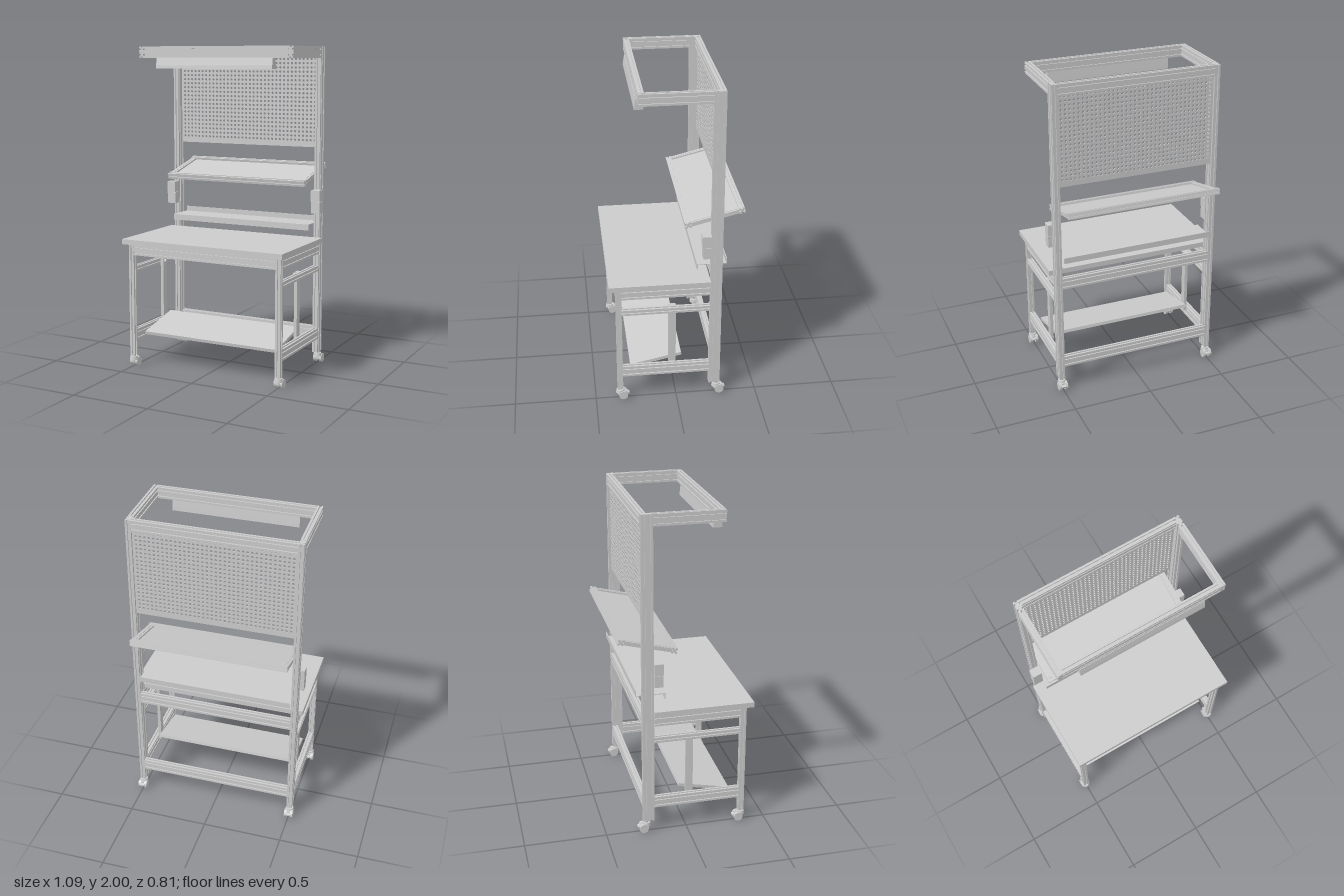
import * as THREE from 'three';

const mat = new THREE.MeshStandardMaterial({ color: 0xcccccc, side: THREE.DoubleSide });
const M = 0.035; // one profile module
const POST_X = 0.5025;

function add(parent, name, geo, x = 0, y = 0, z = 0) {
  const m = new THREE.Mesh(geo, mat);
  m.name = name;
  m.position.set(x, y, z);
  parent.add(m);
  return m;
}
const box = (parent, name, w, h, d, x, y, z) => add(parent, name, new THREE.BoxGeometry(w, h, d), x, y, z);

// Slotted aluminium section, nu by nv modules, one groove per module and face
function section(nu, nv) {
  const pts = [];
  const g = 0.0045, depth = 0.008;
  let x = -nu * M / 2, y = -nv * M / 2;
  for (const [dx, dy, n] of [[1, 0, nu], [0, 1, nv], [-1, 0, nu], [0, -1, nv]]) {
    for (let i = 0; i < n; i++) {
      const put = (t, d) => pts.push(new THREE.Vector2(x + dx * t - dy * d, y + dy * t + dx * d));
      if (i === 0) put(0, 0);
      put(M / 2 - g, 0);
      put(M / 2 - g, depth);
      put(M / 2 + g, depth);
      put(M / 2 + g, 0);
      x += dx * M;
      y += dy * M;
    }
  }
  return new THREE.Shape(pts);
}

// Beam along an axis. Section sides: x -> (z, y), y -> (x, z), z -> (x, y)
function beam(parent, name, axis, nu, nv, length, x, y, z) {
  const geo = new THREE.ExtrudeGeometry(section(nu, nv), { depth: length, bevelEnabled: false });
  geo.translate(0, 0, -length / 2);
  if (axis === 'x') geo.rotateY(Math.PI / 2);
  if (axis === 'y') geo.rotateX(-Math.PI / 2);
  return add(parent, name, geo, x, y, z);
}

// Extrude a (z, y) outline across the width in x
function across(parent, name, outline, width) {
  const shape = new THREE.Shape(outline.map(([z, y]) => new THREE.Vector2(-z, y)));
  const geo = new THREE.ExtrudeGeometry(shape, { depth: width, bevelEnabled: false });
  geo.translate(0, 0, -width / 2);
  geo.rotateY(Math.PI / 2);
  return add(parent, name, geo);
}

// Swivel caster with twin wheels, trailing to the back
function caster(parent, x, z) {
  const c = new THREE.Group();
  c.name = 'caster';
  c.position.set(x, 0, z);
  add(c, 'casterStem', new THREE.CylinderGeometry(0.012, 0.012, 0.03, 16), 0, 0.065, 0);
  add(c, 'casterSwivel', new THREE.CylinderGeometry(0.024, 0.028, 0.022, 20), 0, 0.052, 0);
  box(c, 'casterFork', 0.022, 0.03, 0.05, 0, 0.038, -0.012);
  for (const s of [-1, 1]) {
    const wheel = new THREE.CylinderGeometry(0.028, 0.028, 0.018, 20).rotateZ(Math.PI / 2);
    add(c, 'casterWheel', wheel, s * 0.019, 0.028, -0.018);
  }
  const brake = box(c, 'casterBrake', 0.03, 0.008, 0.03, 0, 0.04, -0.04);
  brake.rotation.x = -0.3;
  parent.add(c);
}

function pegboard(parent) {
  const w = 0.97, y0 = 1.378, y1 = 1.945, pitch = 0.0265, cols = 36, rows = 20;
  const s = new THREE.Shape([[-w / 2, y0], [w / 2, y0], [w / 2, y1], [-w / 2, y1]].map(p => new THREE.Vector2(...p)));
  for (let i = 0; i < cols; i++) {
    for (let j = 0; j < rows; j++) {
      const hole = new THREE.Path();
      hole.absarc((i - (cols - 1) / 2) * pitch, 1.42 + j * pitch, 0.0075, 0, Math.PI * 2, true);
      s.holes.push(hole);
    }
  }
  const geo = new THREE.ExtrudeGeometry(s, { depth: 0.005, bevelEnabled: false, curveSegments: 8 });
  add(parent, 'pegboard', geo, 0, 0, -0.258);
}

export function createModel() {
  const root = new THREE.Group();
  root.name = 'workbench';

  // Side frames
  for (const s of [-1, 1]) {
    const x = s * POST_X;
    const side = new THREE.Group();
    side.name = s > 0 ? 'leftFrame' : 'rightFrame';
    root.add(side);
    beam(side, 'rearPost', 'y', 1, 2, 1.925, x, 1.0375, -0.238);
    beam(side, 'frontLeg', 'y', 1, 1, 0.717, x, 0.4285, 0.348);
    beam(side, 'topArm', 'z', 1, 2, 0.418, x, 1.965, 0.006);
    beam(side, 'tableRail', 'z', 1, 2, 0.533, x, 0.75, 0.064);
    beam(side, 'middleRail', 'z', 1, 1, 0.533, x, 0.6225, 0.064);
    beam(side, 'bottomRail', 'z', 1, 2, 0.533, x, 0.2, 0.064);

    // Upright that carries the footrest
    box(side, 'footrestUpright', 0.02, 0.43, 0.045, s * 0.474, 0.425, 0.022);
    const knob = new THREE.CylinderGeometry(0.012, 0.012, 0.012, 16).rotateZ(Math.PI / 2);
    add(side, 'uprightKnob', knob, s * 0.458, 0.62, 0.022);

    // Socket box on the front of the post
    box(side, 'socketBox', 0.058, 0.07, 0.055, s * 0.515, 1.085, -0.1755);
    box(side, 'socketBoxLower', 0.058, 0.072, 0.05, s * 0.515, 1.012, -0.178);

    caster(side, x, 0.348);
    caster(side, x, -0.252);
  }

  // Cross beams
  const span = 0.97;
  beam(root, 'topFrontBeam', 'x', 1, 2, span, 0, 1.965, 0.1975);
  beam(root, 'topRearBeam', 'x', 1, 2, span, 0, 1.965, -0.2555);
  beam(root, 'tableFrontBeam', 'x', 1, 2, span, 0, 0.75, 0.348);
  beam(root, 'tableMiddleBeam', 'x', 1, 2, span, 0, 0.75, 0.055);
  beam(root, 'tableRearBeam', 'x', 1, 2, span, 0, 0.75, -0.2555);
  beam(root, 'bottomRearBeam', 'x', 1, 2, span, 0, 0.2, -0.2555);

  box(root, 'tableTop', 1.09, 0.032, 0.608, 0, 0.802, 0.101);
  pegboard(root);

  // Lamp under the front beam
  across(root, 'lamp', [[0.173, 1.865], [0.228, 1.865], [0.226, 1.885], [0.218, 1.931], [0.18, 1.931], [0.175, 1.885]], 0.785);

  // Tilted shelf with a slotted frame
  const shelf = new THREE.Group();
  shelf.name = 'tiltedShelf';
  shelf.position.set(0, 1.211, -0.229);
  shelf.rotation.x = THREE.MathUtils.degToRad(14);
  root.add(shelf);
  for (const s of [-1, 1]) {
    beam(shelf, 'shelfEdge', 'x', 1, 1, 0.964, 0, 0, s * 0.1625);
    box(shelf, 'shelfSide', 0.035, 0.024, 0.29, s * 0.4645, 0, 0);
    box(shelf, 'shelfSideRib', 0.009, 0.028, 0.29, s * 0.4645, 0, 0);
  }
  box(shelf, 'shelfPanel', 0.9, 0.006, 0.294, 0, 0, 0);

  // Bent sheet tray: front lip down, back lip up
  across(root, 'tray', [
    [-0.126, 0.871], [-0.126, 0.908], [-0.301, 0.908], [-0.301, 0.94],
    [-0.305, 0.94], [-0.305, 0.904], [-0.13, 0.904], [-0.13, 0.871],
  ], 0.964);

  // Sloping footrest with folded edges
  const rest = new THREE.Group();
  rest.name = 'footrest';
  rest.position.set(0, 0.242, 0.122);
  rest.rotation.x = 0.21;
  root.add(rest);
  box(rest, 'footrestPanel', 0.92, 0.005, 0.325, 0, 0, 0);
  for (const s of [-1, 1]) {
    box(rest, 'footrestLip', 0.92, 0.02, 0.005, 0, -0.0075, s * 0.16);
    box(rest, 'footrestSideLip', 0.005, 0.02, 0.315, s * 0.4575, -0.0075, 0);
  }
  return root;
}
